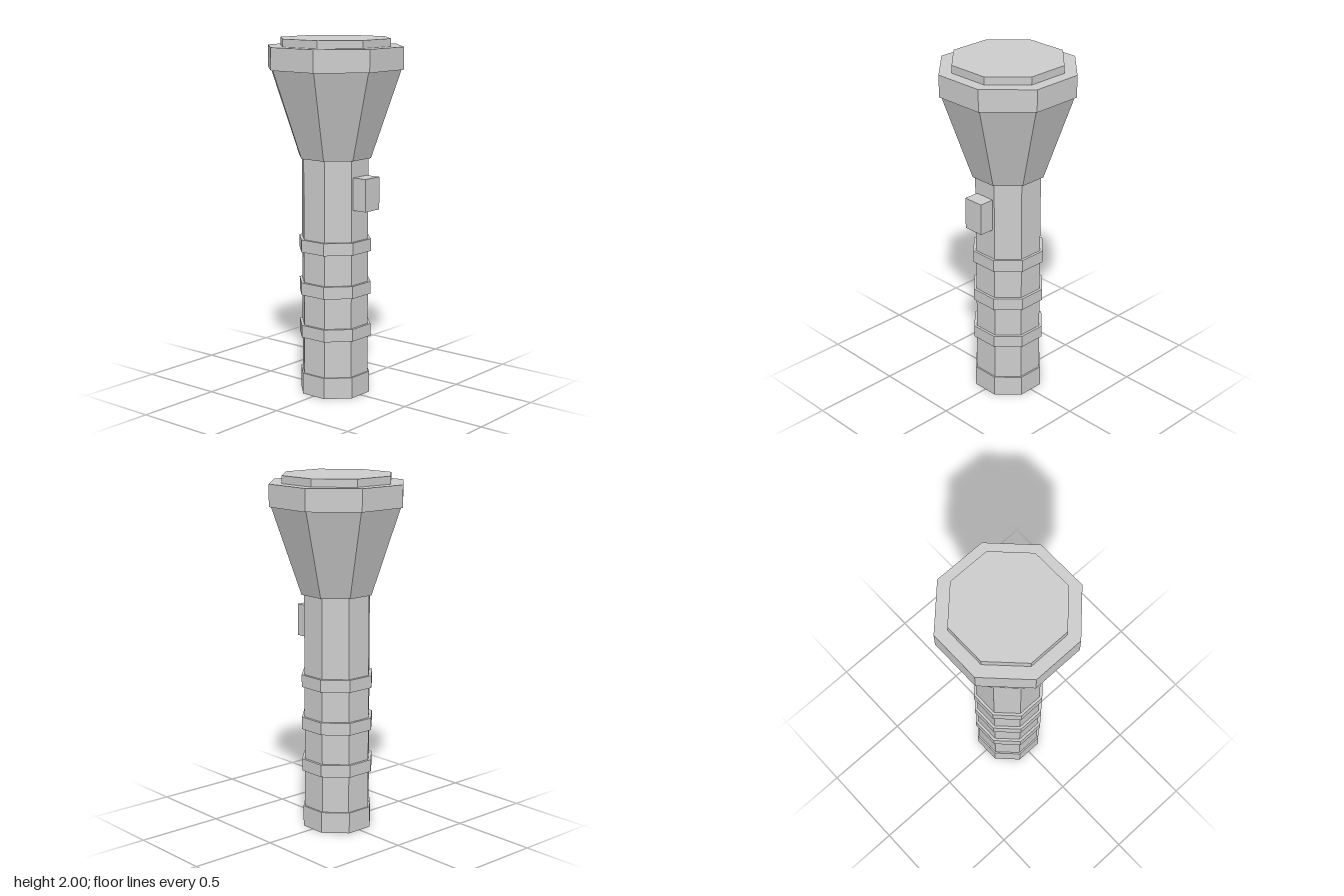
import * as THREE from 'three';

export function createModel() {
  const group = new THREE.Group();
  const grey = new THREE.MeshStandardMaterial({ color: 0xcccccc });
  grey.name = 'light grey';
  grey.flatShading = true;

  function add(name, geometry) {
    const mesh = new THREE.Mesh(geometry, grey);
    mesh.name = name;
    group.add(mesh);
    return mesh;
  }

  // Octagonal section with flats facing the axes, sized by half-width across flats
  function octagon(name, y0, y1, bottom, top = bottom) {
    const k = 1 / Math.cos(Math.PI / 8);
    const geometry = new THREE.CylinderGeometry(top * k, bottom * k, y1 - y0, 8, 1, false, Math.PI / 8);
    add(name, geometry).position.y = (y0 + y1) / 2;
  }

  // Handle
  octagon('endCap', 0, 0.12, 0.188);
  octagon('handle', 0.05, 1.36, 0.179);
  [0.367, 0.612, 0.857].forEach((y, i) => octagon('gripRing' + (i + 1), y - 0.035, y + 0.035, 0.194));

  // Flared head, rim and lens
  octagon('flaredHead', 1.345, 1.834, 0.192, 0.348);
  octagon('headRim', 1.834, 1.957, 0.359);
  octagon('lens', 1.92, 2, 0.292);

  // Switch on the left side
  add('switchButton', new THREE.BoxGeometry(0.122, 0.181, 0.122)).position.set(0.205, 1.16, 0);

  return group;
}
